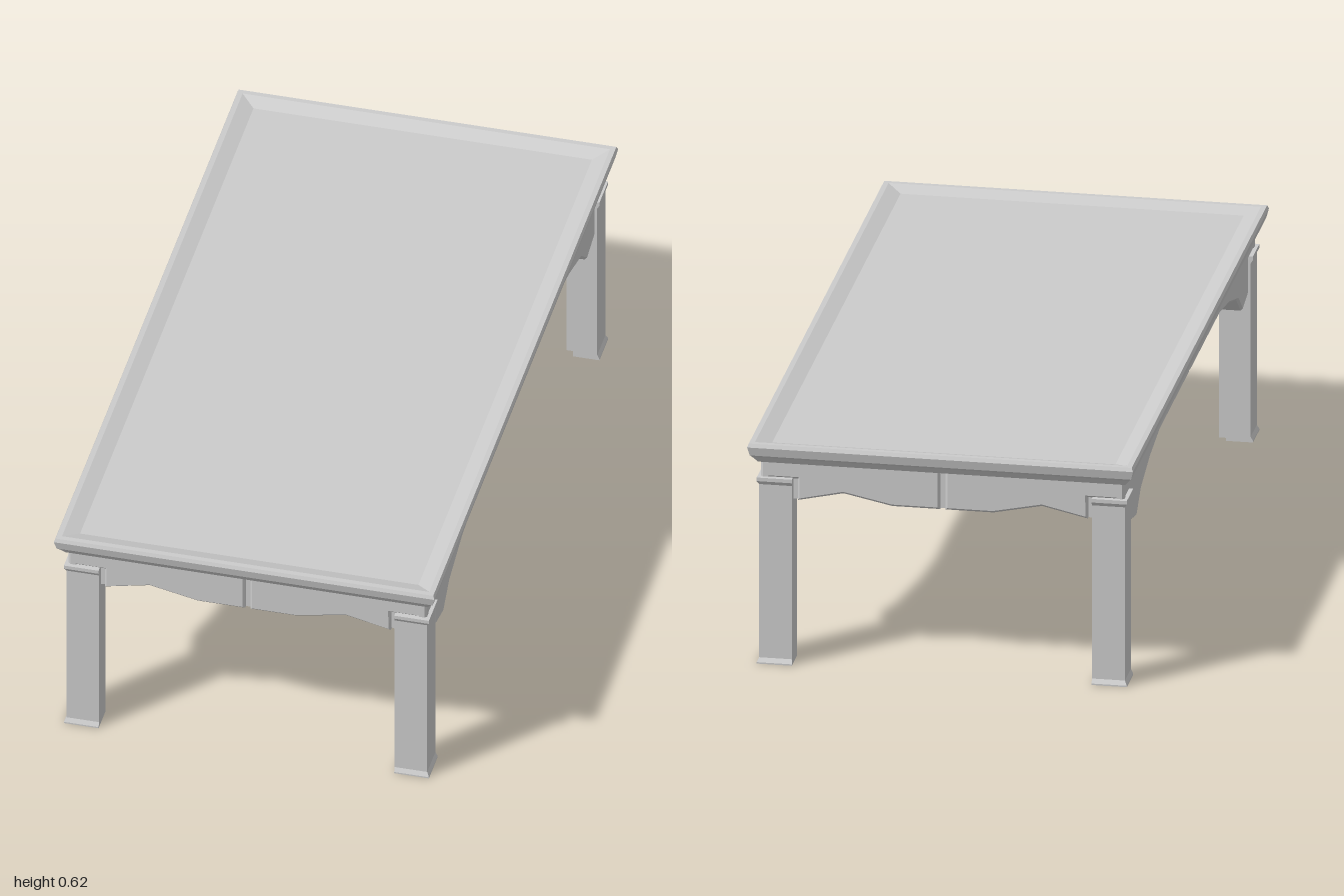
import * as THREE from 'three';

const material = new THREE.MeshStandardMaterial({ color: 0xcccccc, flatShading: true });

// Closed solid through a stack of sections { y, ring: [[x, z], ...] }, bottom to top.
function loft(sections) {
  const rings = sections.map(({ y, ring }) => {
    const flat = ring.map(([x, z]) => new THREE.Vector2(x, z));
    if (THREE.ShapeUtils.isClockWise(flat)) flat.reverse();
    return { flat, points: flat.map((p) => new THREE.Vector3(p.x, y, p.y)) };
  });
  const corners = [];
  for (let s = 0; s < rings.length - 1; s++) {
    const low = rings[s].points, high = rings[s + 1].points;
    low.forEach((a, i) => {
      const j = (i + 1) % low.length;
      corners.push(a, high[i], low[j], low[j], high[i], high[j]);
    });
  }
  const first = rings[0], last = rings[rings.length - 1];
  for (const [a, b, c] of THREE.ShapeUtils.triangulateShape(first.flat, [])) {
    corners.push(first.points[a], first.points[b], first.points[c]);
  }
  for (const [a, b, c] of THREE.ShapeUtils.triangulateShape(last.flat, [])) {
    corners.push(last.points[a], last.points[c], last.points[b]);
  }
  const geometry = new THREE.BufferGeometry().setFromPoints(corners);
  geometry.computeVertexNormals();
  return geometry;
}

function addMesh(parent, geometry, name) {
  const mesh = new THREE.Mesh(geometry, material);
  mesh.name = name;
  parent.add(mesh);
  return mesh;
}

// Moulded top with a raised rim around a shallow sunken panel: [inset, height].
function createTop() {
  const profile = [
    [0.025, 0.567], [0.012, 0.584], [0.006, 0.59], [0, 0.614],
    [0.004, 0.624], [0.018, 0.624], [0.057, 0.611],
  ];
  return loft(profile.map(([inset, y]) => {
    const x = 0.515 - inset, z = 1 - inset;
    return { y, ring: [[x, z], [-x, z], [-x, -z], [x, -z]] };
  }));
}

// Leg with a notched inner corner, flaring on the outer faces at foot and head.
function createLeg(sx, sz) {
  const levels = [
    [0, 0.006], [0.004, 0.006], [0.016, 0], [0.502, 0], [0.512, 0.006], [0.522, 0.006],
  ];
  return loft(levels.map(([y, flare]) => {
    const x = 0.488 + flare, z = 0.969 + flare;
    const ring = [[0.4, z], [x, z], [x, 0.88], [0.422, 0.88], [0.422, 0.902], [0.4, 0.902]];
    return { y, ring: ring.map(([px, pz]) => [px * sx, pz * sz]) };
  }));
}

function outline(points) {
  return new THREE.Shape(points.map(([x, y]) => new THREE.Vector2(x, y)));
}

// Apron facing +z: a solid board with two bevelled panels parted by a centre groove.
function createApron({ half, face, legEdge, curve }, name) {
  const apron = new THREE.Group();
  apron.name = name;
  const top = 0.572, bevel = 0.006, front = 0.014, thickness = 0.06;
  const endY = curve[0][1];

  const right = [[half - 0.01, top], [half - 0.01, endY], ...curve];
  const left = right.map(([x, y]) => [-x, y]).reverse();
  const board = new THREE.ExtrudeGeometry(outline([...right, ...left]), {
    depth: thickness - front, bevelEnabled: false,
  });
  board.translate(0, 0, face - thickness);
  addMesh(apron, board, 'apronBoard');

  for (const side of [1, -1]) {
    const points = [
      [0.007, top], [half, top], [half, 0.52], [legEdge, 0.52], [legEdge, endY],
      ...curve.slice(1), [0.007, curve[curve.length - 1][1]],
    ].map(([x, y]) => [x * side, y]);
    const panel = new THREE.ExtrudeGeometry(outline(points), {
      depth: front, bevelThickness: bevel, bevelSize: bevel, bevelOffset: -bevel, bevelSegments: 1,
    });
    panel.translate(0, 0, face - front - bevel);
    addMesh(apron, panel, 'apronPanel');
  }
  return apron;
}

export function createModel() {
  const table = new THREE.Group();
  table.name = 'lowTable';
  addMesh(table, createTop(), 'tableTop');

  for (const sx of [1, -1]) {
    for (const sz of [1, -1]) {
      addMesh(table, createLeg(sx, sz), `${sz > 0 ? 'front' : 'back'}${sx > 0 ? 'Left' : 'Right'}Leg`);
    }
  }

  // Wavy aprons on the short ends, arched ones along the sides.
  const shortApron = {
    half: 0.485, face: 0.964, legEdge: 0.387,
    curve: [[0.395, 0.46], [0.265, 0.487], [0.135, 0.46]],
  };
  const longApron = {
    half: 0.964, face: 0.485, legEdge: 0.866,
    curve: [[0.875, 0.425], [0.78, 0.406], [0.715, 0.46], [0.58, 0.5], [0.44, 0.522]],
  };
  const aprons = [
    [shortApron, 'frontApron'], [longApron, 'leftApron'],
    [shortApron, 'backApron'], [longApron, 'rightApron'],
  ];
  aprons.forEach(([spec, name], i) => {
    const apron = createApron(spec, name);
    apron.rotation.y = (i * Math.PI) / 2;
    table.add(apron);
  });
  return table;
}
